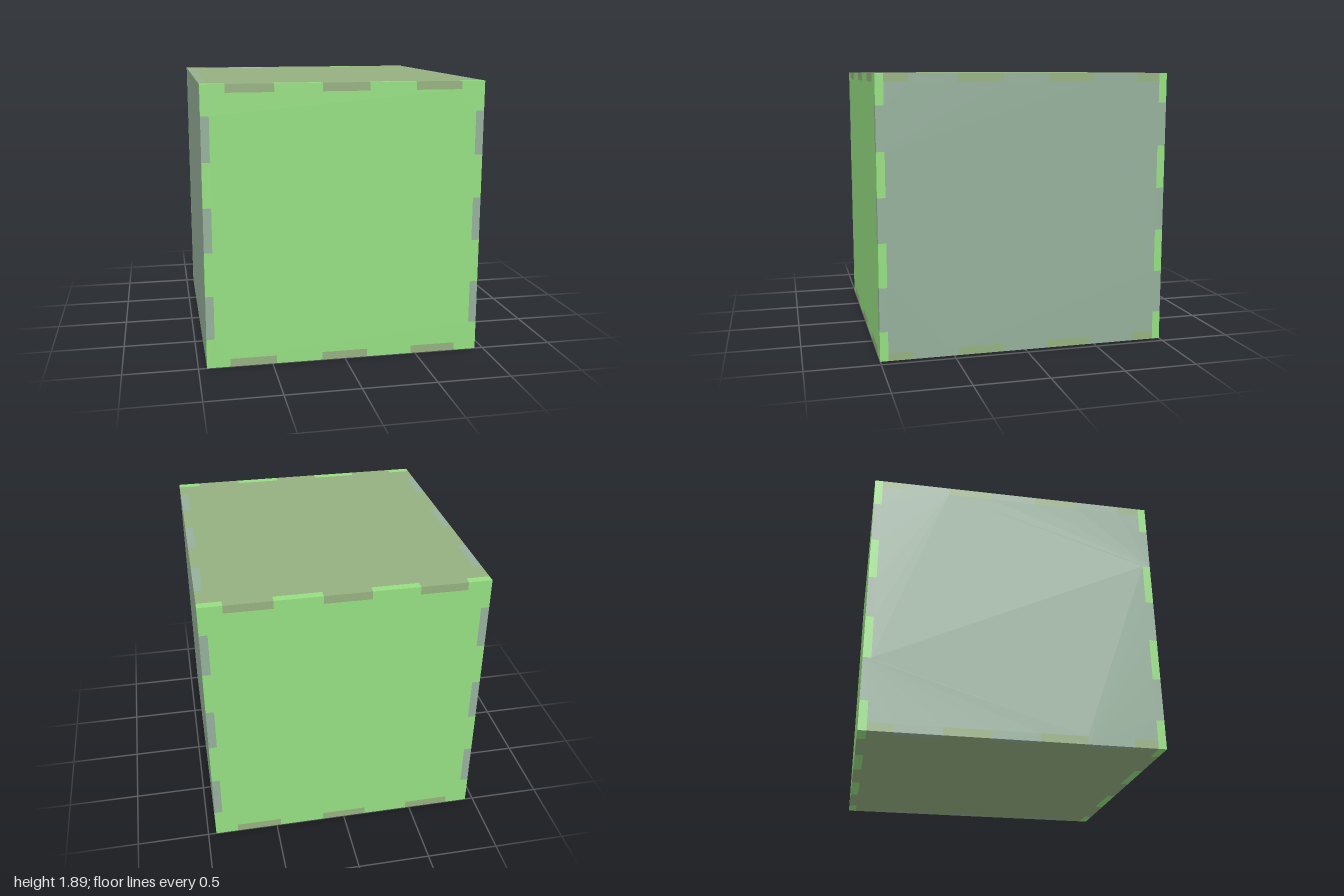
import * as THREE from 'three';

const T = 0.055;                       // board thickness
const W = 0.943, H = 0.943, D = 1;     // half width, height, depth
const STEPS_WIDE = [0.785, 0.471, 0.157]; // joint boundaries along x and z
const STEPS_TALL = [0.743, 0.446, 0.149]; // joint boundaries along y

// Joint boundaries from positive to negative
const bounds = (s) => [...s, ...s.map((v) => -v).reverse()];

// Board outline: each edge sits at `base` and steps to `joint` between alternate boundaries
function boardShape(u, v) {
  const pts = [];
  const edge = (steps, e, place) => {
    bounds(steps).forEach((s, i) => {
      const into = i % 2 === 0;
      pts.push(place(s, into ? e.base : e.joint), place(s, into ? e.joint : e.base));
    });
  };
  const corner = (x, y) => pts.push(new THREE.Vector2(x * u.base, y * v.base));
  corner(1, 1);
  edge(u.steps, v, (s, e) => new THREE.Vector2(s, e));
  corner(-1, 1);
  edge(v.steps, u, (s, e) => new THREE.Vector2(-e, s));
  corner(-1, -1);
  edge(u.steps, v, (s, e) => new THREE.Vector2(-s, -e));
  corner(1, -1);
  edge(v.steps, u, (s, e) => new THREE.Vector2(e, -s));
  return new THREE.Shape(pts);
}

// Flat board centred on its own thickness, facing z
function boardGeometry(u, v) {
  const g = new THREE.ExtrudeGeometry(boardShape(u, v), { depth: T, bevelEnabled: false });
  return g.translate(0, 0, -T / 2);
}

// Edge styles: notched edges stay outside and step in, tabbed edges do the reverse
const notched = (half, steps) => ({ base: half, joint: half - T, steps });
const tabbed = (half, steps) => ({ base: half - T, joint: half, steps });

export function createModel() {
  const model = new THREE.Group();
  const add = (name, geometry, color, x, y, z) => {
    const mesh = new THREE.Mesh(geometry, new THREE.MeshStandardMaterial({ color }));
    mesh.name = name;
    mesh.position.set(x, y + H, z);
    model.add(mesh);
  };

  // Front and back boards, notched all round
  const face = boardGeometry(notched(W, STEPS_WIDE), notched(H, STEPS_TALL));
  // Side boards, tabbed all round
  const side = boardGeometry(tabbed(D, STEPS_WIDE), tabbed(H, STEPS_TALL)).rotateY(Math.PI / 2);
  // Lid and base: notched for the sides, tabbed into front and back
  const lid = boardGeometry(notched(W, STEPS_WIDE), tabbed(D, STEPS_WIDE)).rotateX(-Math.PI / 2);

  for (const s of [1, -1]) {
    add(s > 0 ? 'frontBoard' : 'backBoard', face, 0x96df82, 0, 0, s * (D - T / 2));
    add(s > 0 ? 'leftBoard' : 'rightBoard', side, 0x96b09c, s * (W - T / 2), 0, 0);
    add(s > 0 ? 'topBoard' : 'bottomBoard', lid, 0x96b080, 0, s * (H - T / 2), 0);
  }
  return model;
}
